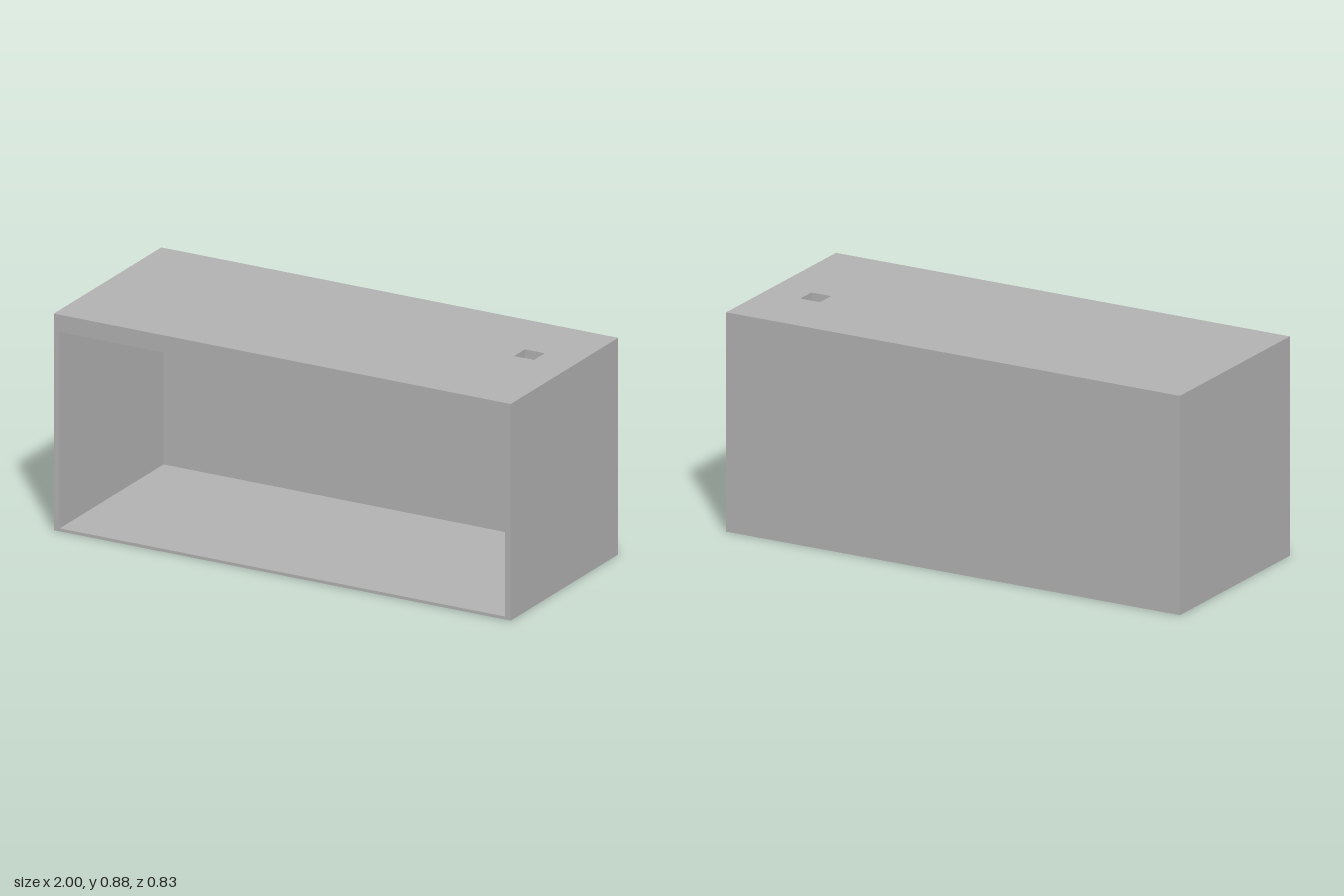
import * as THREE from 'three';

const W = 2, H = 0.88, D = 0.83;            // outer size
const SIDE = 0.026, FLOOR = 0.012, TOP = 0.07, BACK = 0.028; // wall thicknesses
const RECESS = 0.035;                       // depth of the small square recess

export function createModel() {
  const group = new THREE.Group();
  const grey = new THREE.MeshStandardMaterial({ color: 0xb2b2b2 });
  grey.name = 'plainGrey';

  const add = (name, geometry, x, y, z) => {
    const mesh = new THREE.Mesh(geometry, grey);
    mesh.name = name;
    mesh.position.set(x, y, z);
    group.add(mesh);
    return mesh;
  };
  const rect = (Type, x0, y0, x1, y1) => {
    const r = new Type();
    r.moveTo(x0, y0);
    r.lineTo(x1, y0);
    r.lineTo(x1, y1);
    r.lineTo(x0, y1);
    r.closePath();
    return r;
  };

  // Front frame and walls: one rectangular tube running front to back
  const frame = rect(THREE.Shape, -W / 2, 0, W / 2, H - RECESS);
  frame.holes.push(rect(THREE.Path, -W / 2 + SIDE, FLOOR, W / 2 - SIDE, H - TOP));
  add('shell', new THREE.ExtrudeGeometry(frame, { depth: D - BACK, bevelEnabled: false }),
    0, 0, -D / 2 + BACK);

  // Closed back
  add('backPanel', new THREE.BoxGeometry(W, H - RECESS, BACK), 0, (H - RECESS) / 2, -D / 2 + BACK / 2);

  // Top layer pierced by the square recess (shape y becomes -z)
  const lid = rect(THREE.Shape, -W / 2, -D / 2, W / 2, D / 2);
  lid.holes.push(rect(THREE.Path, 0.753, 0.045, 0.84, 0.13));
  add('topPanel', new THREE.ExtrudeGeometry(lid, { depth: RECESS, bevelEnabled: false }),
    0, H - RECESS, 0).rotation.x = -Math.PI / 2;

  return group;
}
